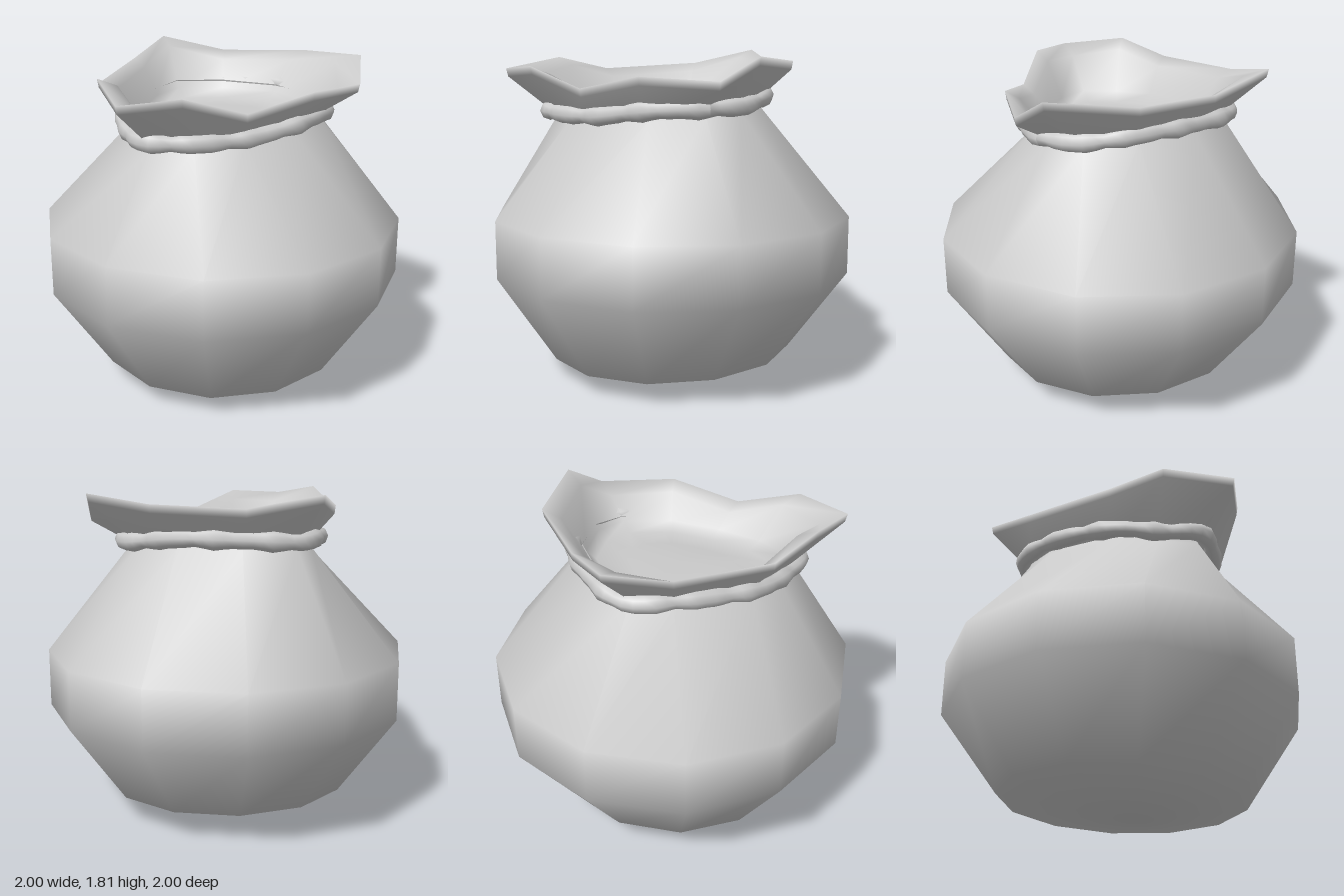
import * as THREE from 'three';

// Mouth rim [x, y, z] and the gathered neck [x, z], twelve folds each
const RIM = [
  [0.75, 1.67, -0.02], [0.52, 1.69, 0.33], [0.2, 1.62, 0.56], [-0.09, 1.73, 0.77],
  [-0.39, 1.71, 0.86], [-0.56, 1.77, 0.52], [-0.61, 1.7, 0.22], [-0.55, 1.73, -0.33],
  [-0.44, 1.81, -0.66], [-0.06, 1.74, -0.62], [0.42, 1.76, -0.55], [0.75, 1.79, -0.23],
];
const NECK = [
  [0.52, -0.02], [0.4, 0.24], [0.17, 0.42], [-0.06, 0.55], [-0.28, 0.58], [-0.38, 0.4],
  [-0.46, 0.18], [-0.42, -0.25], [-0.32, -0.44], [-0.05, -0.47], [0.27, -0.4], [0.47, -0.22],
];
const SIDES = 12;

// The neck ring leans: low at the front, high at the back
const neckRing = (scale, y, lean = 0.1) => NECK.map(([x, z]) => [x * scale, y - lean * z, z * scale]);

// Blend from rim (t = 0) towards neck (t = 1), lowered by drop
const rimRing = (t, drop) => RIM.map(([x, y, z], i) => [
  x + (NECK[i][0] - x) * t, y - drop, z + (NECK[i][1] - z) * t,
]);

function circle(radius, y, lean = 0) {
  return Array.from({ length: SIDES }, (_, i) => {
    const a = (i / SIDES) * Math.PI * 2 - 0.04;
    const z = Math.sin(a) * radius;
    return [Math.cos(a) * radius, y - lean * z, z];
  });
}

// Smooth skin over closed rings; a ring of one point closes an end
function loft(rings) {
  const starts = [], points = [], index = [];
  for (const ring of rings) {
    starts.push(points.length / 3);
    ring.forEach((p) => points.push(...p));
  }
  for (let j = 0; j < rings.length - 1; j++) {
    const at = (row, i) => starts[row] + (i % rings[row].length);
    for (let i = 0; i < SIDES; i++) {
      const a = at(j, i), b = at(j, i + 1), c = at(j + 1, i), d = at(j + 1, i + 1);
      if (a !== b) index.push(a, c, b);
      if (c !== d) index.push(b, c, d);
    }
  }
  const geometry = new THREE.BufferGeometry();
  geometry.setAttribute('position', new THREE.Float32BufferAttribute(points, 3));
  geometry.setIndex(index);
  geometry.computeVertexNormals();
  return geometry;
}

// Lumpy cord wrapped around the neck
function ropeGeometry() {
  const controls = NECK.map(([x, z], i) => {
    const r = Math.hypot(x, z);
    const s = (r + 0.05) / r;
    return new THREE.Vector3(x * s, 1.525 - 0.1 * z + 0.012 * Math.sin(i * 2.1), z * s);
  });
  const path = new THREE.CatmullRomCurve3(controls, true);
  const segments = 72, radial = 8;
  const geometry = new THREE.TubeGeometry(path, segments, 0.047, radial, true);
  const pos = geometry.attributes.position;
  const v = new THREE.Vector3();
  for (let k = 0; k < pos.count; k++) {
    const u = (Math.floor(k / (radial + 1)) % segments) / segments;
    const swell = 1 + 0.12 * Math.sin(u * Math.PI * 26) + 0.08 * Math.sin(u * Math.PI * 46);
    const centre = path.getPointAt(u);
    v.fromBufferAttribute(pos, k).sub(centre).multiplyScalar(swell).add(centre);
    pos.setXYZ(k, v.x, v.y, v.z);
  }
  geometry.computeVertexNormals();
  return geometry;
}

export function createModel() {
  const group = new THREE.Group();
  const cloth = new THREE.MeshStandardMaterial({ color: 0xcccccc, side: THREE.DoubleSide });
  const add = (name, geometry) => {
    const mesh = new THREE.Mesh(geometry, cloth);
    mesh.name = name;
    group.add(mesh);
  };

  // Round belly from the sagging base up to the tied neck
  add('sackBody', loft([
    [[-0.02, 0, 0.1]],
    circle(0.68, 0.13, 0.04),
    circle(1, 0.59),
    circle(1, 0.91),
    neckRing(1.04, 1.48),
    neckRing(1, 1.54),
  ]));

  // Flared mouth: outer wall, thick lip, inner wall and the closed throat
  add('sackMouth', loft([
    neckRing(1, 1.5),
    rimRing(0.04, 0.045),
    rimRing(0, 0),
    rimRing(0.5, 0.045),
    neckRing(0.96, 1.52, 0.05),
    neckRing(0.85, 1.47, 0.05),
    neckRing(0.5, 1.48, 0.02),
    [[-0.02, 1.49, 0]],
  ]));

  add('neckRope', ropeGeometry());
  return group;
}
